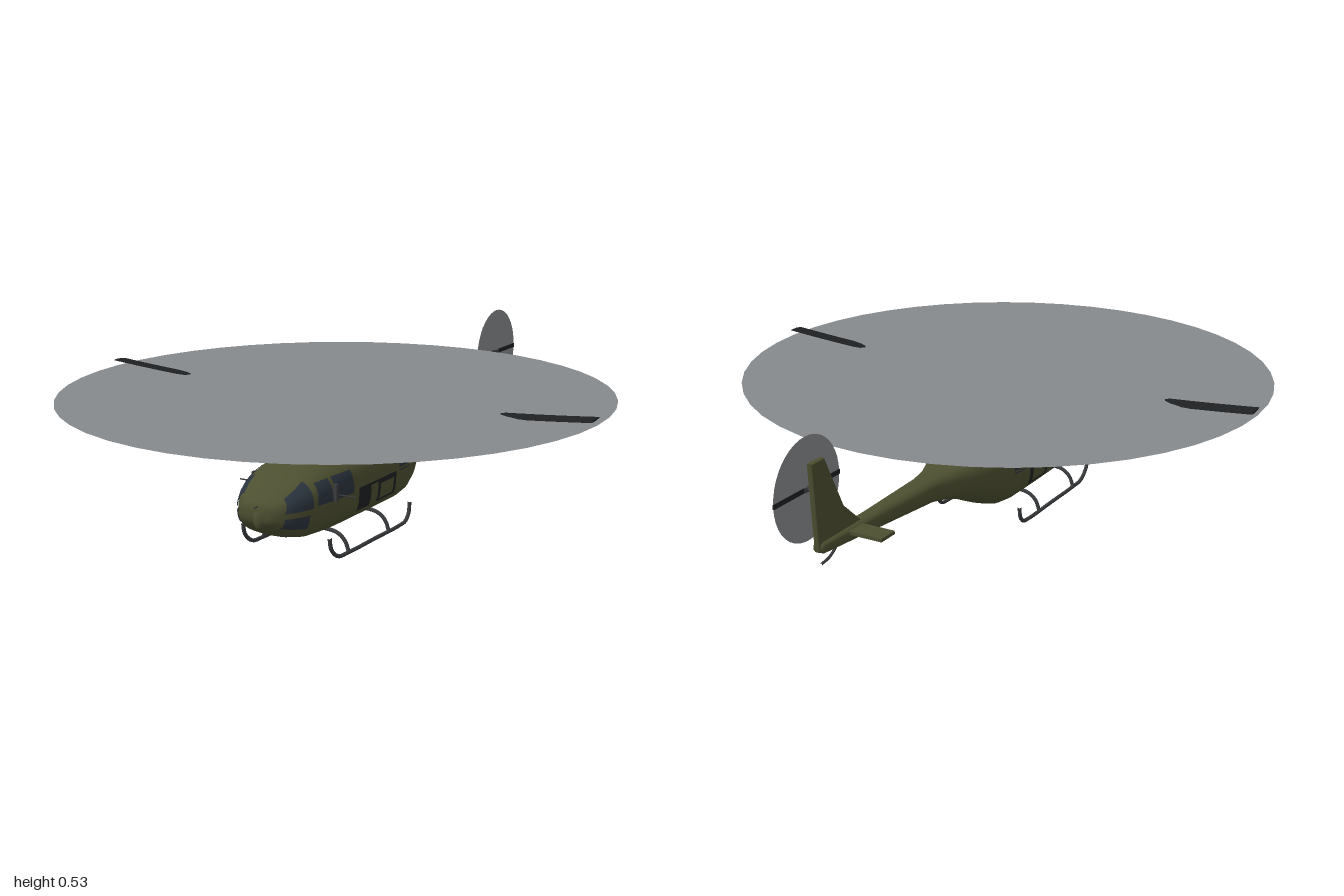
import * as THREE from 'three';

const OLIVE = 0x4c4f30, DARK = 0x1e2022, GLASS = 0x2a333d, METAL = 0x3a3c3e, BLUR = 0x85898d;
const MAST_Z = 0.17;

function add(parent, name, geo, color, pos = [0, 0, 0], double = false) {
  const mat = new THREE.MeshStandardMaterial({ color });
  if (double) mat.side = THREE.DoubleSide;
  const m = new THREE.Mesh(geo, mat);
  m.name = name;
  m.position.set(...pos);
  parent.add(m);
  return m;
}

function indexed(points, index) {
  const g = new THREE.BufferGeometry();
  g.setAttribute('position', new THREE.Float32BufferAttribute(points, 3));
  g.setIndex(index);
  g.computeVertexNormals();
  return g;
}

// Rounded-box cross-sections [z, bottom, top, halfWidth], listed front to back
function loft(sections, n = 2.8, cx = 0, segs = 48) {
  const squash = ([z, b, t, w]) => [z, (b + t) / 2 - 1e-4, (b + t) / 2 + 1e-4, w * 0.001];
  const rows = [squash(sections[0]), ...sections, squash(sections.at(-1))];
  const p = [], idx = [];
  const pw = v => Math.sign(v) * Math.abs(v) ** (2 / n);
  rows.forEach(([z, b, t, w], i) => {
    for (let j = 0; j < segs; j++) {
      const a = j / segs * Math.PI * 2;
      p.push(cx + w * pw(Math.sin(a)), (b + t) / 2 + (t - b) / 2 * pw(Math.cos(a)), z);
      if (i === rows.length - 1) continue;
      const A = i * segs + j, B = i * segs + (j + 1) % segs;
      idx.push(A, B, A + segs, B, B + segs, A + segs);
    }
  });
  return indexed(p, idx);
}

const HULL_N = 2.8;
const HULL = [
  [0.598, 0.145, 0.185, 0.035], [0.59, 0.13, 0.2, 0.06], [0.56, 0.1, 0.217, 0.09],
  [0.52, 0.082, 0.237, 0.11], [0.47, 0.07, 0.26, 0.126], [0.41, 0.067, 0.273, 0.136],
  [0.34, 0.065, 0.281, 0.14], [0.15, 0.065, 0.284, 0.142], [0, 0.065, 0.284, 0.14],
  [-0.05, 0.07, 0.283, 0.134], [-0.1, 0.09, 0.278, 0.122], [-0.15, 0.115, 0.268, 0.102],
  [-0.2, 0.137, 0.255, 0.08], [-0.26, 0.156, 0.246, 0.058], [-0.33, 0.17, 0.243, 0.044],
  [-0.6, 0.19, 0.243, 0.029], [-0.85, 0.21, 0.243, 0.02], [-0.862, 0.216, 0.238, 0.014],
];

// Half-width of the hull at a given station and height
function hullX(z, y) {
  let i = 0;
  while (i < HULL.length - 2 && HULL[i + 1][0] > z) i++;
  const k = (z - HULL[i][0]) / (HULL[i + 1][0] - HULL[i][0]);
  const [, b, t, w] = HULL[i].map((v, j) => v + (HULL[i + 1][j] - v) * k);
  const u = Math.min(1, Math.abs((y - (b + t) / 2) / ((t - b) / 2)));
  return w * (1 - u ** HULL_N) ** (1 / HULL_N);
}

// Four-cornered panel [z, y] laid on the hull, on both sides
function panel(parent, name, c, color, off = 0.003, front = 0) {
  const N = 10;
  for (const s of [1, -1]) {
    const p = [], idx = [];
    for (let i = 0; i <= N; i++) for (let j = 0; j <= N; j++) {
      const u = i / N, v = j / N;
      const mix = k => (c[0][k] * (1 - u) + c[1][k] * u) * (1 - v) + (c[3][k] * (1 - u) + c[2][k] * u) * v;
      const z = mix(0), y = mix(1);
      p.push(s * (hullX(z, y) + off), y + front / 2, z + front);
      if (i < N && j < N) {
        const a = i * (N + 1) + j, b = a + N + 1;
        if (s > 0) idx.push(a, b, a + 1, b, b + 1, a + 1);
        else idx.push(a, a + 1, b, b, a + 1, b + 1);
      }
    }
    add(parent, name, indexed(p, idx), color, [0, 0, 0], true);
  }
}
const rect = (z0, z1, y0, y1) => [[z0, y0], [z1, y0], [z1, y1], [z0, y1]];

function tube(pts, r, segs = 40) {
  const curve = new THREE.CatmullRomCurve3(pts.map(p => new THREE.Vector3(...p)), false, 'centripetal');
  return new THREE.TubeGeometry(curve, segs, r, 10);
}

// Main blade along +x: bent upward and slightly pitched
function bladeGeometry() {
  const g = new THREE.BoxGeometry(0.735, 0.006, 0.056, 30, 1, 4).translate(0.4575, 0, 0);
  const p = g.attributes.position;
  for (let i = 0; i < p.count; i++) {
    const x = p.getX(i), z = p.getZ(i);
    const thin = 1 - 0.7 * (Math.abs(z) / 0.028) ** 2;
    p.setY(i, p.getY(i) * thin + 0.037 * (x / 0.825) ** 2 - z * 0.07);
    p.setZ(i, z + 0.011);
  }
  g.computeVertexNormals();
  return g;
}

export function createModel() {
  const model = new THREE.Group();
  model.name = 'helicopter';

  // Fuselage and tail boom
  add(model, 'fuselage', loft(HULL, HULL_N), OLIVE);

  // Glazing and doors
  panel(model, 'windshield', [[0.574, 0.17], [0.492, 0.172], [0.485, 0.244], [0.56, 0.208]], GLASS, 0.003, 0.003);
  panel(model, 'chinWindow', [[0.575, 0.125], [0.51, 0.115], [0.505, 0.155], [0.575, 0.155]], GLASS, 0.003, 0.002);
  panel(model, 'cockpitWindow', [[0.478, 0.178], [0.415, 0.178], [0.415, 0.243], [0.468, 0.238]], GLASS);
  panel(model, 'cockpitDoorWindow', rect(0.403, 0.308, 0.178, 0.244), GLASS);
  panel(model, 'cabinWindow', rect(0.04, -0.03, 0.18, 0.228), GLASS);
  panel(model, 'doorOpening', rect(0.282, 0.062, 0.113, 0.186), DARK);
  panel(model, 'cabinSeat', rect(0.215, 0.175, 0.113, 0.178), OLIVE, 0.0045);
  panel(model, 'cabinSeat', rect(0.16, 0.08, 0.122, 0.17), OLIVE, 0.0045);
  panel(model, 'doorRail', rect(0.29, -0.04, 0.186, 0.192), OLIVE, 0.006);
  const hatch = add(model, 'noseHatch', new THREE.SphereGeometry(1, 24, 16), OLIVE, [0, 0.15, 0.588]);
  hatch.scale.set(0.02, 0.032, 0.015);
  add(model, 'nosePitot', tube([[0, 0.187, 0.59], [0, 0.187, 0.615]], 0.002, 2), METAL);

  // Engine cowling: central housing with a nacelle on either side
  add(model, 'rotorFairing', loft([
    [0.352, 0.27, 0.298, 0.05], [0.335, 0.27, 0.318, 0.066], [0.3, 0.265, 0.343, 0.07], [0.2, 0.26, 0.356, 0.072],
    [0, 0.26, 0.357, 0.072], [-0.06, 0.26, 0.35, 0.068], [-0.11, 0.255, 0.325, 0.055], [-0.145, 0.25, 0.28, 0.03],
  ], 2.6), OLIVE);
  for (const s of [1, -1]) {
    add(model, 'engineNacelle', loft([
      [0.335, 0.285, 0.32, 0.022], [0.32, 0.272, 0.335, 0.036], [0.28, 0.265, 0.346, 0.044], [0.15, 0.26, 0.35, 0.047],
      [0, 0.26, 0.348, 0.047], [-0.07, 0.255, 0.335, 0.042], [-0.14, 0.25, 0.285, 0.022],
    ], 2.4, s * 0.058), OLIVE);
    const intake = add(model, 'engineIntake', new THREE.SphereGeometry(1, 20, 12), DARK, [s * 0.078, 0.316, 0.304]);
    intake.scale.set(0.023, 0.017, 0.03);

    // Exhaust pipe, rising rearward out of the cowling
    const pipe = [[0.014, -0.05], [0.019, -0.045], [0.021, 0.05], [0.017, 0.05], [0.012, -0.04]];
    const ex = add(model, 'exhaust', new THREE.LatheGeometry(pipe.map(p => new THREE.Vector2(...p)), 20),
      METAL, [s * 0.045, 0.345, -0.092], true);
    ex.rotation.x = -Math.PI / 2 - 0.12;

    // Landing skid
    add(model, 'skid', tube([[s * 0.148, 0.08, 0.455], [s * 0.148, 0.045, 0.447], [s * 0.148, 0.014, 0.41],
      [s * 0.148, 0.009, 0.35], [s * 0.148, 0.009, 0.2], [s * 0.148, 0.009, 0.05],
      [s * 0.148, 0.014, 0.01], [s * 0.148, 0.035, -0.01], [s * 0.148, 0.068, -0.015]], 0.006, 60), METAL);

    // Side probe beside the cockpit
    add(model, 'sideProbe', tube([[s * 0.13, 0.19, 0.39], [s * 0.2, 0.19, 0.39]], 0.002, 2), METAL);
    add(model, 'probeMount', new THREE.BoxGeometry(0.012, 0.05, 0.012), METAL, [s * 0.139, 0.2, 0.406]);
  }

  // Cross tubes joining the skids under the belly
  for (const z of [0.35, 0.115])
    add(model, 'crossTube', tube([[-0.148, 0.01, z], [-0.135, 0.042, z], [-0.105, 0.064, z], [0, 0.068, z],
      [0.105, 0.064, z], [0.135, 0.042, z], [0.148, 0.01, z]], 0.006), METAL);

  // Tail: fin, stabilizer and guard
  const fin = new THREE.Shape([[0.67, 0.24], [0.75, 0.31], [0.83, 0.472], [0.882, 0.472], [0.862, 0.22], [0.8, 0.22]]
    .map(p => new THREE.Vector2(...p)));
  add(model, 'tailFin', new THREE.ExtrudeGeometry(fin, {
    depth: 0.01, bevelEnabled: true, bevelSize: 0.003, bevelThickness: 0.004, bevelSegments: 2,
  }).translate(0, 0, -0.005).rotateY(Math.PI / 2), OLIVE);
  add(model, 'stabilizer', new THREE.BoxGeometry(0.25, 0.01, 0.065), OLIVE, [0, 0.232, -0.712]);
  add(model, 'tailGuard', tube([[0, 0.21, -0.77], [0, 0.193, -0.79], [0, 0.181, -0.815], [0, 0.176, -0.85]], 0.004), METAL);

  // Main rotor
  const rotor = new THREE.Group();
  rotor.name = 'mainRotor';
  rotor.position.set(0, 0, MAST_Z);
  model.add(rotor);
  add(rotor, 'mast', new THREE.CylinderGeometry(0.01, 0.014, 0.075, 16), METAL, [0, 0.383, 0]);
  add(rotor, 'mastBase', new THREE.CylinderGeometry(0.022, 0.032, 0.02, 20), OLIVE, [0, 0.358, 0]);
  add(rotor, 'swashPlate', new THREE.CylinderGeometry(0.024, 0.024, 0.008, 20), METAL, [0, 0.388, 0]);
  add(rotor, 'hub', new THREE.BoxGeometry(0.05, 0.018, 0.045), METAL, [0, 0.412, 0]);
  add(rotor, 'stabilizerBar', new THREE.CylinderGeometry(0.003, 0.003, 0.31, 8).rotateX(Math.PI / 2), METAL, [0, 0.404, 0.005]);
  for (const s of [1, -1]) {
    const arm = new THREE.Group();
    arm.name = 'bladeArm';
    arm.rotation.y = s > 0 ? 0 : Math.PI;
    rotor.add(arm);
    add(arm, 'blade', bladeGeometry(), DARK, [0, 0.411, 0]);
    add(arm, 'bladeGrip', new THREE.BoxGeometry(0.09, 0.012, 0.026), METAL, [0.065, 0.411, 0.004]);
    add(arm, 'pitchLink', new THREE.CylinderGeometry(0.003, 0.003, 0.03, 8), METAL, [0.03, 0.397, 0.012]);
  }
  add(rotor, 'rotorDisc', new THREE.CircleGeometry(0.826, 48).rotateX(-Math.PI / 2), BLUR, [0, 0.43, 0], true);

  // Tail rotor on the left of the fin
  const tail = new THREE.Group();
  tail.name = 'tailRotor';
  tail.position.set(0.033, 0.388, -0.853);
  model.add(tail);
  add(tail, 'tailDisc', new THREE.CircleGeometry(0.147, 40).rotateY(Math.PI / 2), BLUR, [0, 0, 0], true);
  add(tail, 'tailShaft', new THREE.CylinderGeometry(0.006, 0.008, 0.045, 12).rotateZ(Math.PI / 2), METAL, [-0.016, 0, 0]);
  add(tail, 'tailHub', new THREE.BoxGeometry(0.012, 0.012, 0.03), METAL);
  for (const s of [1, -1])
    add(tail, 'tailBlade', new THREE.BoxGeometry(0.004, 0.014, 0.132), DARK, [0, 0, s * 0.081]);

  return model;
}
